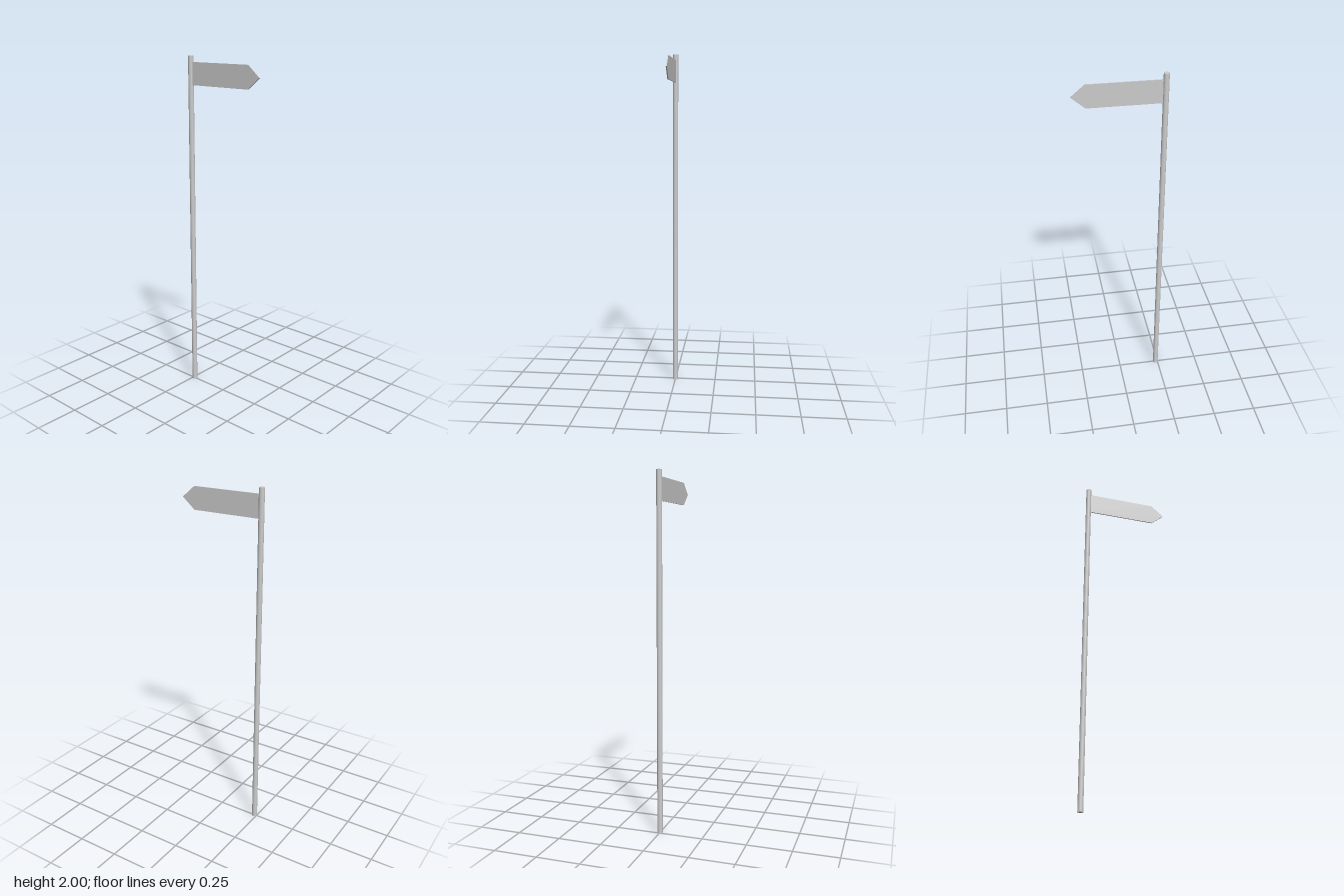
import * as THREE from 'three';

const POLE_X = -0.237, POLE_RADIUS = 0.0155, POLE_HEIGHT = 2;
const SIGN_BOTTOM = 1.839, SIGN_TOP = 1.966, SIGN_THICKNESS = 0.006;
const SHOULDER_X = 0.177, TIP_X = 0.2525;

export function createModel() {
  const group = new THREE.Group();
  group.name = 'fingerpost';
  const material = new THREE.MeshStandardMaterial({ color: 0xcccccc });

  // Round upright pole
  const pole = new THREE.Mesh(
    new THREE.CylinderGeometry(POLE_RADIUS, POLE_RADIUS, POLE_HEIGHT, 32), material);
  pole.name = 'pole';
  pole.position.set(POLE_X, POLE_HEIGHT / 2, 0);
  group.add(pole);

  // Thin pointed sign board, its inner end just sunk into the pole
  const startX = POLE_X + POLE_RADIUS - 0.002;
  const outline = new THREE.Shape([
    [startX, SIGN_BOTTOM],
    [SHOULDER_X, SIGN_BOTTOM],
    [TIP_X, (SIGN_BOTTOM + SIGN_TOP) / 2],
    [SHOULDER_X, SIGN_TOP],
    [startX, SIGN_TOP],
  ].map(([x, y]) => new THREE.Vector2(x, y)));
  const board = new THREE.ExtrudeGeometry(outline, { depth: SIGN_THICKNESS, bevelEnabled: false });
  board.translate(0, 0, -SIGN_THICKNESS / 2);
  const sign = new THREE.Mesh(board, material);
  sign.name = 'signBoard';
  group.add(sign);

  return group;
}
